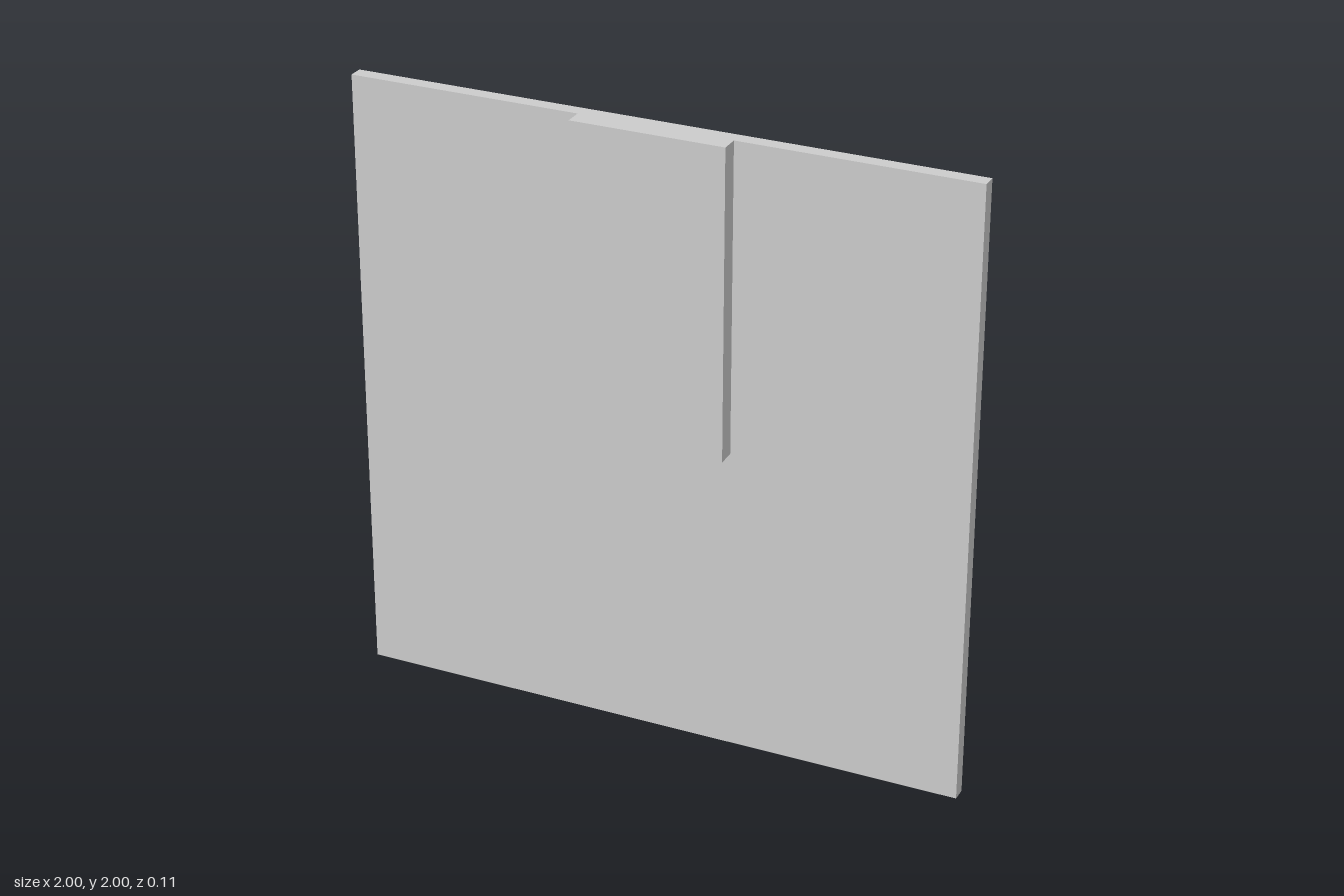
import * as THREE from 'three';

const material = new THREE.MeshStandardMaterial({ color: 0xcccccc, flatShading: true });

// Box given by its minimum and maximum corners
function slab(name, min, max) {
  const size = max.map((v, i) => v - min[i]);
  const mesh = new THREE.Mesh(new THREE.BoxGeometry(...size), material);
  mesh.position.set(...max.map((v, i) => (v + min[i]) / 2));
  mesh.name = name;
  return mesh;
}

export function createModel() {
  const group = new THREE.Group();
  group.name = 'panelWithStrip';

  const panelFront = -0.006;
  // Large square panel at the back
  group.add(slab('panel', [-1, 0, -0.053], [1, 2, panelFront]));
  // Raised strip on the upper half of the front, flush with the top edge
  group.add(slab('raisedStrip', [-0.25, 1.003, panelFront], [0.243, 2, 0.053]));

  return group;
}
